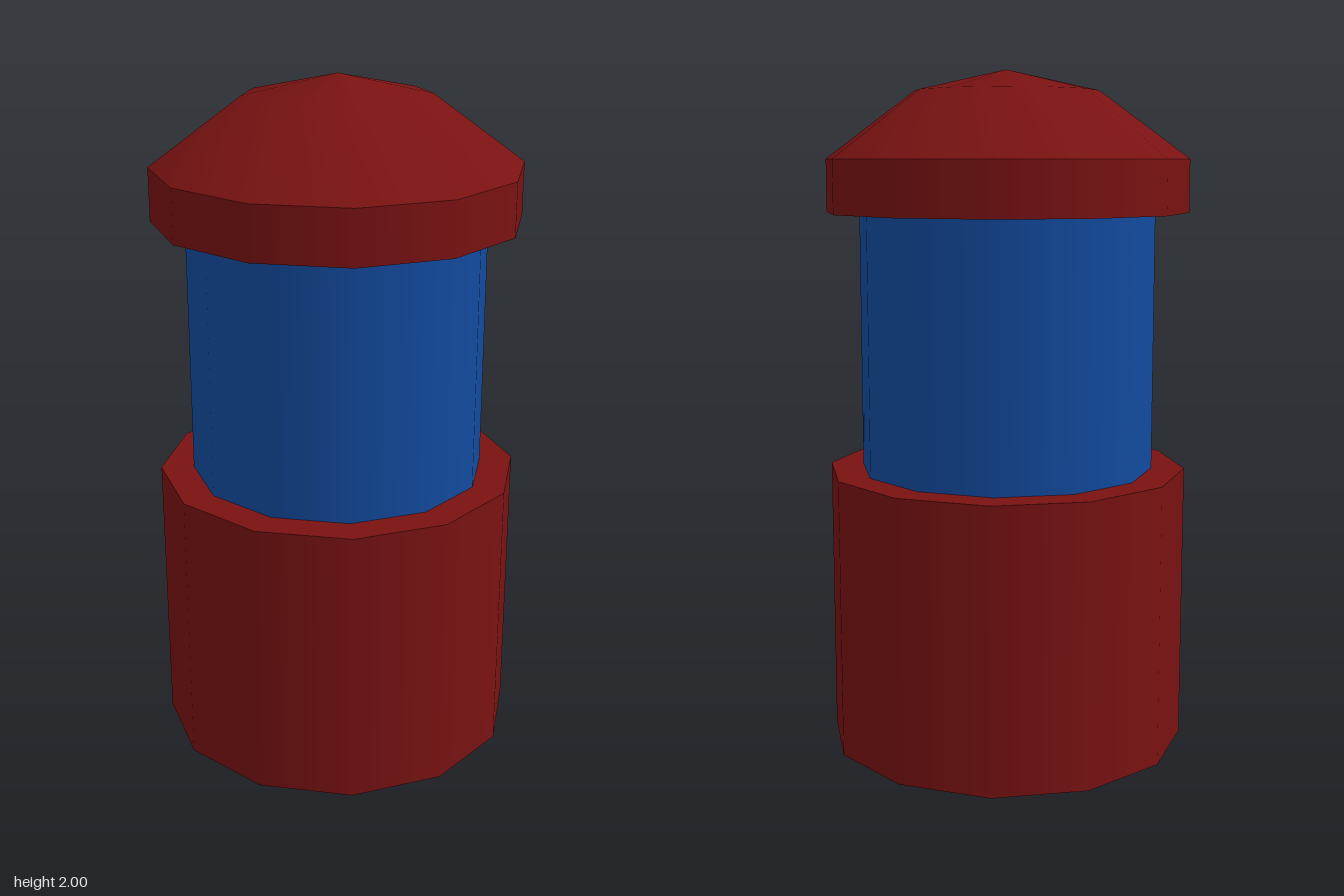
import * as THREE from 'three';

const SIDES = 12;
const RADIUS = 0.535;

export function createModel() {
  const group = new THREE.Group();
  const red = new THREE.MeshStandardMaterial({ color: 0x7a1212 });
  const blue = new THREE.MeshStandardMaterial({ color: 0x124a9e });

  const add = (name, geometry, material) => {
    const mesh = new THREE.Mesh(geometry, material);
    mesh.name = name;
    group.add(mesh);
  };

  // Upright twelve-sided drum between two heights
  const drum = (radius, bottom, top, openEnded = false) =>
    new THREE.CylinderGeometry(radius, radius, top - bottom, SIDES, 1, openEnded)
      .translate(0, (bottom + top) / 2, 0);

  // Wide base and narrower middle column
  add('base', drum(RADIUS, 0, 0.83), red);
  add('column', drum(0.437, 0.83, 1.59, true), blue);

  // Cap: straight rim with a closed underside, and a shallow dome on top
  const rim = [[0, 1.59], [RADIUS, 1.59], [RADIUS, 1.745]];
  const dome = [[RADIUS, 1.745], [0.27, 1.94], [0, 2]];
  const lathe = (points) =>
    new THREE.LatheGeometry(points.map(([x, y]) => new THREE.Vector2(x, y)), SIDES);
  add('capUnderside', lathe(rim.slice(0, 2)), red);
  add('capRim', lathe(rim.slice(1)), red);
  add('capDome', lathe(dome), red);

  return group;
}
